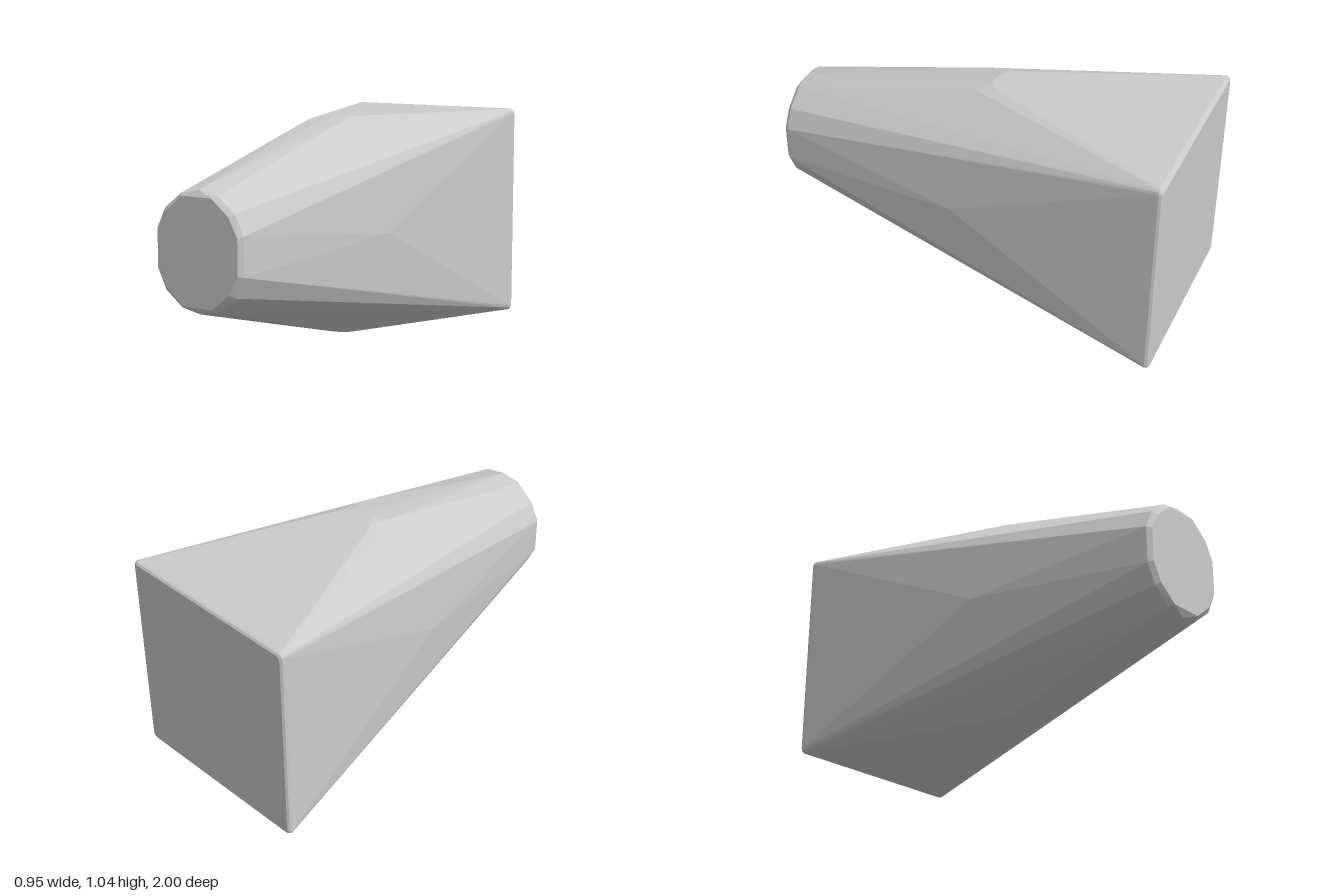
import * as THREE from 'three';
import { ConvexGeometry } from 'three/addons/geometries/ConvexGeometry.js';

const CY = 0.5225; // height of the long axis

export function createModel() {
  const group = new THREE.Group();
  const points = [];

  // Adds a point mirrored left/right and up/down about the long axis
  const mirrored = (x, y, z) => {
    for (const sx of x ? [-1, 1] : [0]) {
      for (const sy of y ? [-1, 1] : [0]) {
        points.push(new THREE.Vector3(sx * x, CY + sy * y, z));
      }
    }
  };

  // Rectangular back end with rounded corners and a thin bevel
  const r = 0.022;
  for (let i = 0; i <= 3; i++) {
    const a = (i / 3) * Math.PI / 2;
    const x = 0.475 - r + r * Math.cos(a);
    const y = 0.5225 - r + r * Math.sin(a);
    mirrored(x, y, -0.98);
    mirrored(x - 0.004, y - 0.004, -0.993);
    mirrored(x - 0.014, y - 0.014, -1);
  }

  // Shoulder where the flat top and bottom start to slope, and the side bulge
  const shoulder = [[0, 0.5225, -0.02], [0.045, 0.5225, -0.03], [0.085, 0.5225, -0.065], [0.1, 0.505, 0.03]];
  shoulder.forEach((p) => mirrored(...p));
  mirrored(0.368, 0, 0.05);

  // Faceted oval nose with a chamfered rim
  const rim = [[0, 0.27], [0.1, 0.25], [0.19, 0.18], [0.235, 0.087]];
  rim.forEach(([x, y]) => mirrored(x, y, 0.98));
  const face = [[0.08, 0.24], [0.172, 0.165], [0.217, 0.08]];
  face.forEach(([x, y]) => mirrored(x, y, 1));

  const body = new THREE.Mesh(
    new ConvexGeometry(points),
    new THREE.MeshStandardMaterial({ color: 0xcccccc, flatShading: true })
  );
  body.name = 'taperedBody';
  group.add(body);
  return group;
}
